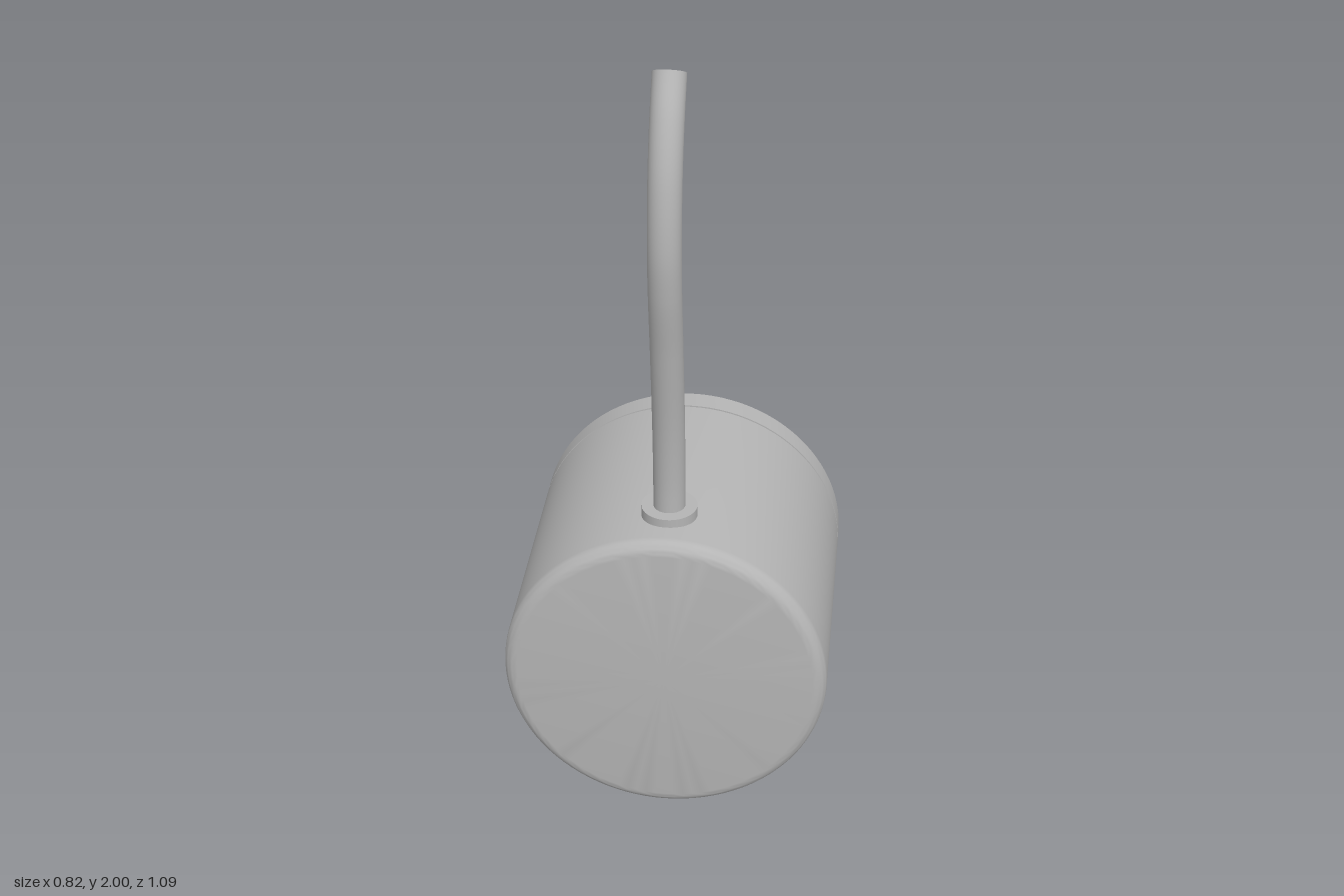
import * as THREE from 'three';
import { toCreasedNormals } from 'three/addons/utils/BufferGeometryUtils.js';

const R = 0.41;          // housing radius, also the height of the shaft axis
const SEGMENTS = 96;

export function createModel() {
  const model = new THREE.Group();
  model.name = 'rotaryEncoder';
  const metal = new THREE.MeshStandardMaterial({ color: 0xb4b4b4 });
  metal.name = 'satin grey';

  function add(name, geometry, y = 0, z = 0) {
    const mesh = new THREE.Mesh(geometry, metal);
    mesh.name = name;
    mesh.position.set(0, y, z);
    model.add(mesh);
    return mesh;
  }

  // Turned part on the shaft axis; points are [radius, z], from front (+z) to back
  function turned(name, points) {
    const profile = points.map(([r, z]) => new THREE.Vector2(r, -z));
    const geometry = new THREE.LatheGeometry(profile, SEGMENTS).rotateX(-Math.PI / 2);
    return add(name, toCreasedNormals(geometry, 0.5), R);
  }

  // Plate cut from a shape in the xy plane, from zBack to zFront
  function plate(name, shape, zBack, zFront) {
    const geometry = new THREE.ExtrudeGeometry(shape, {
      depth: zFront - zBack, bevelEnabled: false, curveSegments: SEGMENTS / 2,
    });
    return add(name, toCreasedNormals(geometry, 0.5), R, zBack);
  }

  // Housing with a rounded front rim, stepping down to the groove floor
  const fillet = 0.035, front = 0.545;
  const housing = [[0, front]];
  for (let i = 0; i <= 8; i++) {
    const a = (i / 8) * Math.PI / 2;
    housing.push([R - fillet + fillet * Math.sin(a), front - fillet + fillet * Math.cos(a)]);
  }
  housing.push([R, -0.109], [0.39, -0.109], [0.39, -0.116], [0, -0.116]);
  turned('housing', housing);

  // Mounting flange with two sets of three screw holes, 30 degrees apart
  const flange = new THREE.Shape().absarc(0, 0, R, 0, Math.PI * 2);
  for (const degrees of [30, 60, 150, 180, 270, 300]) {
    const a = THREE.MathUtils.degToRad(degrees);
    flange.holes.push(new THREE.Path().absarc(
      0.29 * Math.cos(a), 0.29 * Math.sin(a), 0.021, 0, Math.PI * 2, true));
  }
  plate('mountingFlange', flange, -0.178, -0.115);

  // Centring boss with a shallow bearing recess
  turned('centringBoss', [
    [0.205, -0.175], [0.205, -0.279], [0.149, -0.279], [0.149, -0.249], [0, -0.249],
  ]);

  // Shaft: round at the root, then D-shaped with the flat underneath
  const shaftR = 0.0615, flat = -0.045;
  turned('shaftRoot', [[shaftR, -0.245], [shaftR, -0.336], [0, -0.336]]);
  const flatAngle = Math.asin(flat / shaftR);
  const dShape = new THREE.Shape().absarc(0, 0, shaftR, flatAngle, Math.PI - flatAngle);
  dShape.closePath();
  plate('shaftEnd', dShape, -0.545, -0.335);

  // Cable grommet on top of the housing
  add('cableGrommet', new THREE.CylinderGeometry(0.07, 0.07, 0.044, 48), 0.82, 0.397);

  // Cable bending forward and then back, with a flat cut end
  const path = new THREE.CatmullRomCurve3([
    [0.8, 0.397], [0.92, 0.396], [1.08, 0.407], [1.3, 0.439], [1.48, 0.47],
    [1.6, 0.477], [1.76, 0.456], [1.88, 0.413], [1.976, 0.357],
  ].map(([y, z]) => new THREE.Vector3(0, y, z)));
  add('cable', new THREE.TubeGeometry(path, 64, 0.04, 32));
  const end = add('cableEnd', new THREE.CircleGeometry(0.04, 32));
  end.position.copy(path.getPoint(1));
  end.lookAt(path.getPoint(1).add(path.getTangent(1)));

  return model;
}
